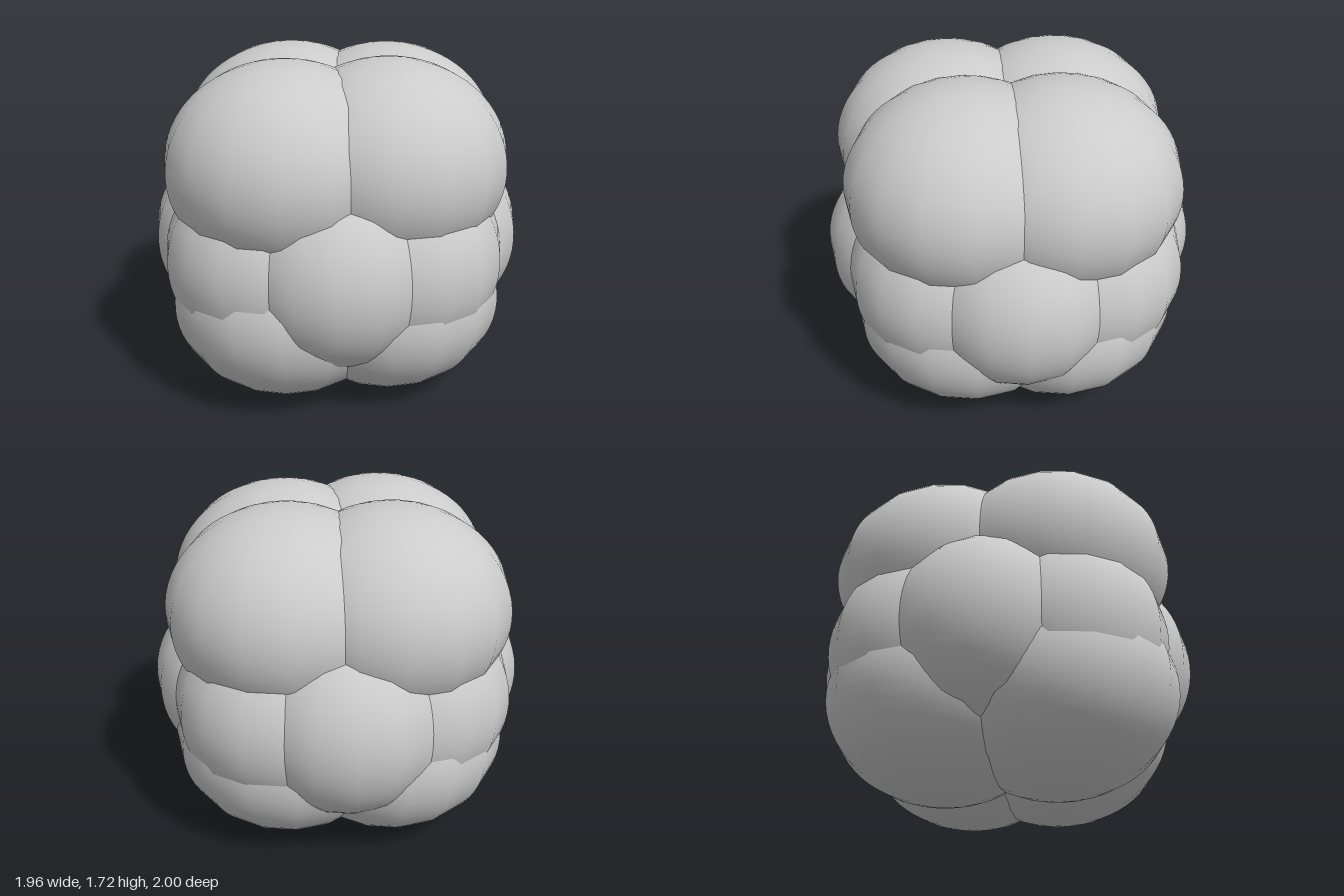
import * as THREE from 'three';

const material = new THREE.MeshStandardMaterial({ color: 0xcccccc });

// One puffy lobe: a squashed sphere
function lobe(name, x, y, z, radius, height) {
  const mesh = new THREE.Mesh(new THREE.SphereGeometry(1, 16, 32), material);
  mesh.name = name;
  mesh.scale.set(radius, height, radius);
  mesh.position.set(x, y, z);
  return mesh;
}

export function createModel() {
  const model = new THREE.Group();
  model.name = 'lobedCluster';

  // Four large lobes above and four below, slightly off their axes
  const centres = [[0.355, -0.02], [0.035, 0.385], [-0.355, -0.025], [0.035, -0.365]];
  for (const [layer, y] of [['upper', 1.2], ['lower', 0.52]]) {
    const ring = new THREE.Group();
    ring.name = layer + 'Lobes';
    centres.forEach(([x, z], i) => ring.add(lobe(`${layer}Lobe${i + 1}`, x, y, z, 0.6, 0.52)));
    model.add(ring);
  }

  // Ring of eight smaller lobes around the middle
  const middle = new THREE.Group();
  middle.name = 'middleLobes';
  for (let i = 0; i < 8; i++) {
    const a = (i * Math.PI) / 4;
    const d = i === 2 || i === 6 ? 0.47 : 0.45;
    middle.add(lobe(`middleLobe${i + 1}`, d * Math.cos(a), 0.74, d * Math.sin(a) - (i % 2 ? 0.01 : 0), 0.53, 0.525));
  }
  model.add(middle);
  return model;
}
